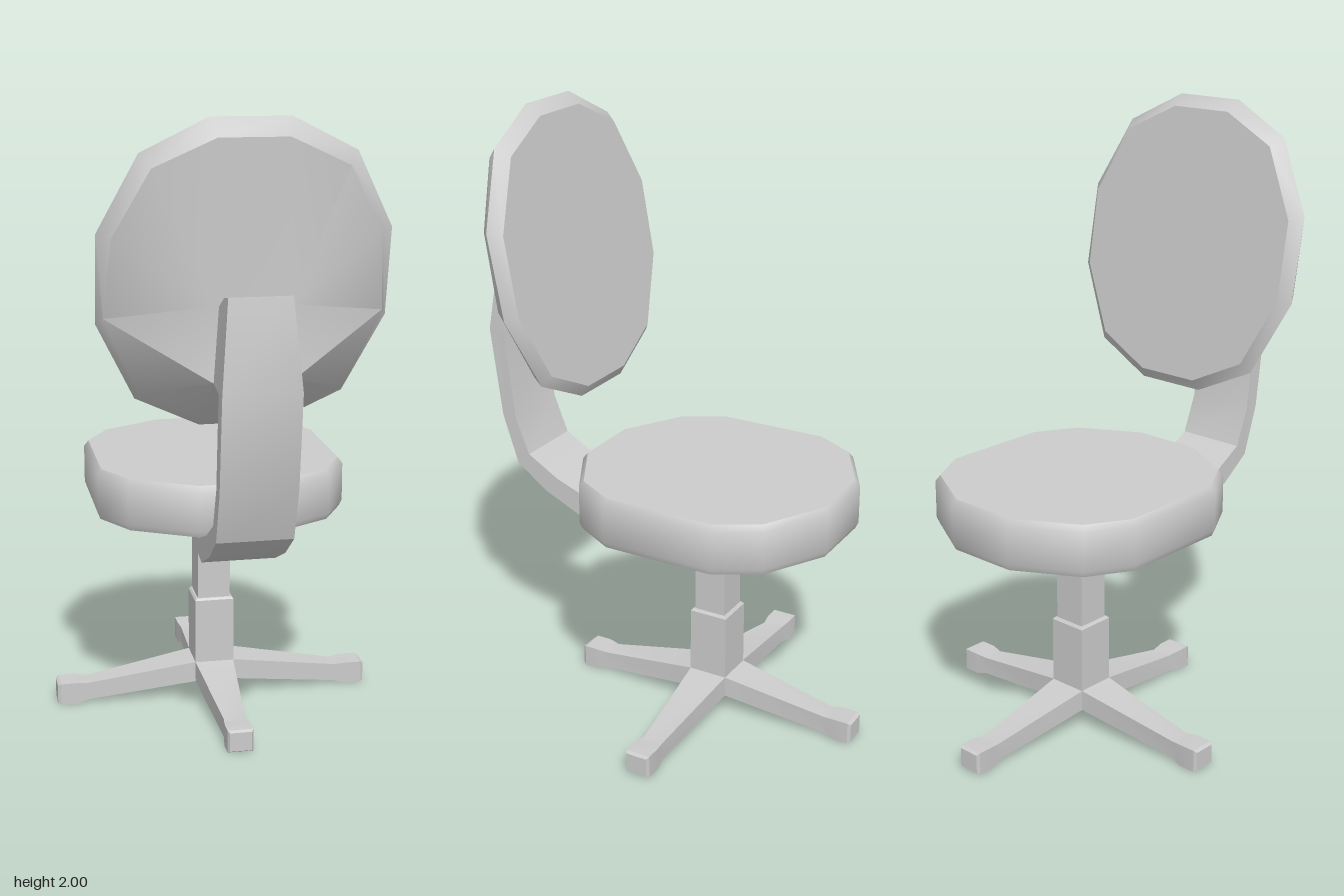
import * as THREE from 'three';
import { toCreasedNormals } from 'three/addons/utils/BufferGeometryUtils.js';

const CENTRE_Z = -0.145; // axis of seat, column and base

function createMesh(name, geometry, crease = 0.85) {
  const material = new THREE.MeshStandardMaterial({ color: 0xcccccc });
  const mesh = new THREE.Mesh(toCreasedNormals(geometry, crease), material);
  mesh.name = name;
  return mesh;
}

// Joins rings of points; rings run counter-clockwise seen from the last one.
// endCap may give extra points and triangles instead of a flat fan.
function loft(rings, endCap) {
  const n = rings[0].length, index = [];
  const points = rings.flat();
  const last = (rings.length - 1) * n;
  for (let r = 0; r < last; r += n) {
    for (let i = 0; i < n; i++) {
      const j = (i + 1) % n;
      index.push(r + i, r + j, r + n + j, r + i, r + n + j, r + n + i);
    }
  }
  for (let i = 1; i < n - 1; i++) {
    index.push(0, i + 1, i);
    if (!endCap) index.push(last, last + i, last + i + 1);
  }
  if (endCap) {
    points.push(...endCap.points);
    index.push(...endCap.triangles.flat().map((k) => k + last));
  }
  const geometry = new THREE.BufferGeometry();
  geometry.setAttribute('position', new THREE.Float32BufferAttribute(points.flat(), 3));
  geometry.setIndex(index);
  return geometry;
}

// Completes a half outline (bottom to top, on +x) with its mirror image
const mirrorRing = (half) => [...half, ...half.map(([x, ...rest]) => [-x, ...rest]).reverse()];

function createSeat() {
  const outline = mirrorRing([
    [0.12, -0.445], [0.325, -0.33], [0.405, -0.19],
    [0.405, 0.19], [0.325, 0.33], [0.12, 0.445],
  ]);
  const levels = [[0.7, 0.98], [0.72, 1], [0.845, 1], [0.865, 0.965]];
  return createMesh('seat', loft(levels.map(([y, s]) =>
    outline.map(([x, v]) => [x * s, y, CENTRE_Z - v * s]))));
}

function createBackrest() {
  // Padded front face, widest rim, then the bulging back shell
  const front = mirrorRing([[0.11, 1.1], [0.295, 1.19], [0.405, 1.41], [0.405, 1.66], [0.295, 1.875], [0.11, 1.965]]
    .map(([x, y]) => [x, y, 0.28 + (y - 1.1) * 0.179]));
  const rim = mirrorRing([[0.12, 1.065], [0.32, 1.16], [0.44, 1.4], [0.44, 1.67], [0.32, 1.9], [0.12, 2]]
    .map(([x, y]) => [x, y, 0.3 + (y - 1.065) * 0.193]));
  const back = mirrorRing([
    [0.12, 1.1, 0.375], [0.31, 1.18, 0.35], [0.42, 1.42, 0.4],
    [0.4, 1.66, 0.455], [0.29, 1.86, 0.503], [0.105, 1.945, 0.53],
  ]);
  // Two ridge points on each side form the bulge: 12/13 low, 14/15 high
  const points = [[0.12, 1.245, 0.53], [-0.12, 1.245, 0.53], [0.12, 1.465, 0.51], [-0.12, 1.465, 0.51]];
  const right = [[0, 1, 12], [1, 2, 12], [2, 14, 12], [2, 3, 14], [3, 4, 14], [4, 5, 14]];
  const mirror = (k) => (k < 12 ? 11 - k : k + 1);
  const left = right.map(([a, b, c]) => [mirror(a), mirror(c), mirror(b)]);
  const middle = [[11, 0, 12], [11, 12, 13], [13, 12, 14], [13, 14, 15], [15, 14, 5], [15, 5, 6]];
  return createMesh('backrest', loft([front, rim, back], { points, triangles: [...right, ...left, ...middle] }), 0.55);
}

function createBracket() {
  // Side profile as [z, y], swept across the width
  const profile = [
    [0, 0.695], [0.325, 0.63], [0.455, 0.69], [0.565, 0.77], [0.62, 0.935], [0.66, 1.235],
    [0.625, 1.51], [0.57, 1.5], [0.51, 1.465], [0.525, 1.245], [0.605, 1.23],
    [0.57, 0.935], [0.52, 0.81], [0.41, 0.745], [0.295, 0.7],
  ];
  const shape = new THREE.Shape(profile.map(([z, y]) => new THREE.Vector2(z, y)));
  const geometry = new THREE.ExtrudeGeometry(shape, { depth: 0.236, bevelEnabled: false });
  geometry.translate(0, 0, -0.118).rotateY(-Math.PI / 2);
  // Narrow the top end
  const p = geometry.attributes.position;
  for (let i = 0; i < p.count; i++) {
    const t = Math.max(0, (p.getY(i) - 1.245) / 0.265);
    p.setX(i, p.getX(i) * (1 - 0.2 * t));
  }
  return createMesh('backBracket', geometry, 0.35);
}

// Stacked square sections given as [half width, y]
function createSquarePost(name, levels) {
  const corners = [[1, 1], [1, -1], [-1, -1], [-1, 1]];
  return createMesh(name, loft(levels.map(([w, y]) =>
    corners.map(([x, z]) => [x * w, y, z * w + CENTRE_Z]))), 0.6);
}

function createBase() {
  const base = new THREE.Group();
  base.name = 'base';
  // Leg sections: [distance, half width, bottom, top]
  const sections = [
    [0.05, 0.067, 0.062, 0.132], [0.43, 0.035, 0.01, 0.07], [0.47, 0.042, 0, 0.075],
    [0.525, 0.042, 0, 0.075], [0.535, 0.036, 0.006, 0.069],
  ];
  for (let i = 0; i < 4; i++) {
    const reach = i % 2 ? 0.965 : 1; // front and back legs are slightly shorter
    const leg = createMesh('leg', loft(sections.map(([d, w, low, high]) =>
      [[d * reach, low, w], [d * reach, low, -w], [d * reach, high, -w], [d * reach, high, w]])), 0.3);
    leg.rotation.y = (i * Math.PI) / 2;
    leg.position.z = CENTRE_Z;
    base.add(leg);
  }
  return base;
}

export function createModel() {
  const chair = new THREE.Group();
  chair.name = 'swivelChair';
  chair.add(
    createSeat(),
    createBackrest(),
    createBracket(),
    createSquarePost('seatHub', [[0.1, 0.615], [0.12, 0.64], [0.13, 0.705]]),
    createSquarePost('upperColumn', [[0.055, 0.34], [0.055, 0.63]]),
    createSquarePost('lowerColumn', [[0.066, 0.062], [0.066, 0.35], [0.06, 0.357]]),
    createBase(),
  );
  return chair;
}
